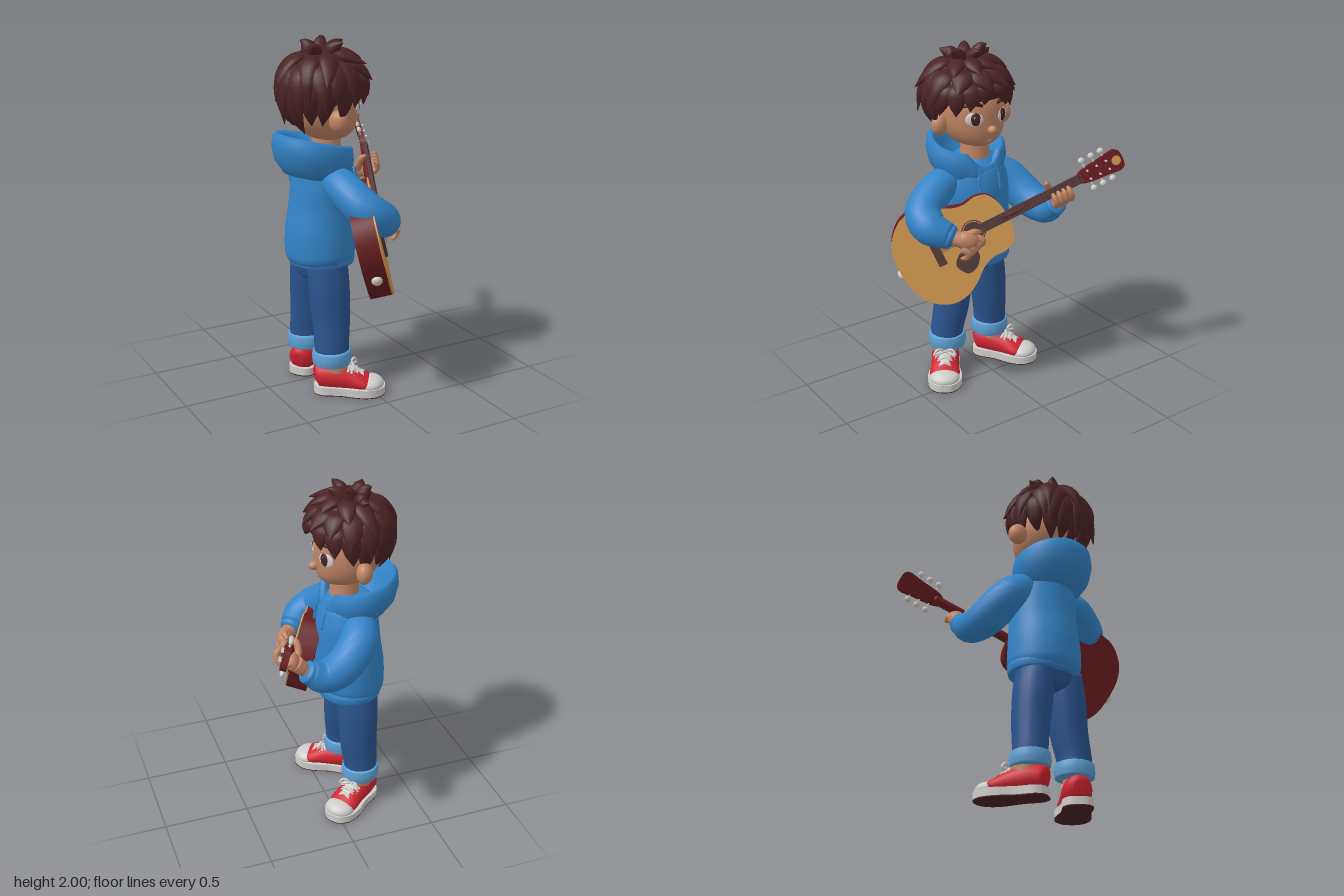
import * as THREE from 'three';
import { toCreasedNormals } from 'three/addons/utils/BufferGeometryUtils.js';

const V = (x, y, z) => new THREE.Vector3(x, y, z);
const paint = (name, color) => Object.assign(new THREE.MeshStandardMaterial({ color }), { name });

export function createModel() {
  const hairM = paint('dark brown hair', 0x4a2224), blue = paint('hoodie blue', 0x3384c8);
  const skin = paint('skin', 0xc08565), jeans = paint('denim', 0x2a548e), pale = paint('pale denim', 0x5e9fd2);
  const red = paint('shoe red', 0xd02430), white = paint('off white', 0xcfcdca);
  const tan = paint('spruce', 0xcf964e), maroon = paint('maroon wood', 0x681d20), dark = paint('dark rosewood', 0x543a3a);
  blue.side = THREE.DoubleSide; // the hood and pocket are open surfaces

  const root = new THREE.Group(), boy = new THREE.Group();
  root.name = 'guitarPlayer'; boy.name = 'figure';
  boy.rotation.y = Math.PI / 2; // the figure looks along +x
  root.add(boy);

  const part = (parent, name, geo, mat, pos = [0, 0, 0], scale = [1, 1, 1], rot = [0, 0, 0]) => {
    const m = new THREE.Mesh(geo, mat);
    m.name = name; m.position.set(...pos); m.scale.set(...scale); m.rotation.set(...rot);
    parent.add(m);
    return m;
  };
  const ball = (parent, name, mat, pos, scale, rot) =>
    part(parent, name, new THREE.SphereGeometry(1, 28, 20), mat, pos, scale, rot);

  // Smooth body through elliptical sections: pts is the path, rads the [side, up] radii along it
  const limb = (parent, name, mat, pts, rads, up = [0, 1, 0], segs = 24, n = 20) => {
    const path = new THREE.CatmullRomCurve3(pts.map(p => V(...p)));
    const size = new THREE.CatmullRomCurve3(rads.map(r => Array.isArray(r) ? V(r[0], r[1], 0) : V(r, r, 0)));
    const pos = [], idx = [];
    for (let i = 0; i <= segs; i++) {
      const c = path.getPoint(i / segs), t = path.getTangent(i / segs), r = size.getPoint(i / segs);
      const s = V(...up).cross(t).normalize(), u = t.clone().cross(s);
      for (let j = 0; j < n; j++) {
        const a = j / n * Math.PI * 2;
        pos.push(...c.clone().addScaledVector(s, r.x * Math.cos(a)).addScaledVector(u, r.y * Math.sin(a)).toArray());
        if (i === segs) continue;
        const k = i * n + j, l = i * n + (j + 1) % n;
        idx.push(k, l, l + n, k, l + n, k + n);
      }
    }
    const e = pos.length / 3;
    pos.push(...pts[0], ...pts[pts.length - 1]);
    for (let j = 0; j < n; j++) {
      const k = (j + 1) % n;
      idx.push(e, k, j, e + 1, segs * n + j, segs * n + k);
    }
    const g = new THREE.BufferGeometry();
    g.setAttribute('position', new THREE.Float32BufferAttribute(pos, 3));
    g.setIndex(idx); g.computeVertexNormals();
    return part(parent, name, g, mat);
  };

  // Mirrored outline from [distance, half width] pairs, extruded
  const slab = (half, depth) => {
    const p = new THREE.SplineCurve(half.map(h => new THREE.Vector2(...h))).getPoints(48);
    const q = p.slice(1, -1).reverse().map(v => new THREE.Vector2(v.x, -v.y));
    return toCreasedNormals(new THREE.ExtrudeGeometry(new THREE.Shape([...p, ...q]), { depth, bevelEnabled: false }), 0.6);
  };

  // ---- legs and shoes
  limb(boy, 'hips', jeans, [[-.033, .625, -.18], [-.033, .65, -.18], [-.03, .71, -.18], [-.03, .8, -.17]],
    [[.03, .05], [.11, .105], [.195, .125], [.18, .14]], [0, 0, 1]);
  for (const [side, hip, knee, ankle, foot, turn] of [['right', -.13, -.175, -.2, -.225, -.6], ['left', .066, .1, .112, .132, .6]]) {
    limb(boy, side + 'Leg', jeans, [[hip, .74, -.18], [(hip + knee) / 2, .6, -.18], [knee, .42, -.18], [ankle, .27, -.19], [ankle, .19, -.19]],
      [[.1, .12], [.108, .12], [.102, .11], [.095, .1], [.097, .1]], [0, 0, 1]);
    limb(boy, side + 'TrouserCuff', pale, [[ankle, .165, -.19], [ankle, .172, -.19], [ankle, .21, -.19], [ankle, .248, -.19], [ankle, .255, -.19]],
      [.09, .108, .113, .108, .095], [0, 0, 1]);
    const shoe = new THREE.Group();
    shoe.name = side + 'Shoe'; shoe.position.set(foot, 0, -.175);
    shoe.rotation.y = turn; shoe.scale.set(1.06, 1.02, 1.1);
    boy.add(shoe);
    part(shoe, 'ankle', new THREE.CylinderGeometry(.07, .07, .12, 24), skin, [0, .15, 0]);
    const sole = [[-.115, 0], [-.105, .05], [-.06, .078], [.03, .078], [.13, .095], [.2, .085], [.245, .045], [.255, 0]];
    for (const [name, mat, top, depth] of [['soleEdge', white, .048, .043], ['soleBottom', hairM, .005, .005]])
      part(shoe, name, slab(sole, depth).rotateX(Math.PI / 2).rotateY(-Math.PI / 2), mat, [0, top, 0]);
    limb(shoe, 'upper', red, [[0, .09, -.11], [0, .095, -.09], [0, .1, -.02], [0, .085, .07], [0, .065, .15], [0, .055, .2]],
      [[.03, .04], [.065, .075], [.077, .082], [.077, .07], [.083, .045], [.06, .03]]);
    ball(shoe, 'toeCap', white, [0, .056, .178], [.083, .046, .07]);
    limb(shoe, 'tongue', white, [[0, .12, .13], [0, .15, .075], [0, .185, .045]], [[.03, .008], [.035, .01], [.035, .008]]);
    for (let i = 0; i < 3; i++) {
      const z = .065 + i * .03, y = .158 - i * .02;
      for (const k of [-1, 1])
        limb(shoe, 'lace', white, [[-.055 * k, y - .02, z], [0, y + .008, z + .01], [.055 * k, y - .03, z + .02]], [.007, .008, .007], [0, 1, 0], 10, 8);
    }
    for (const k of [-1, 1])
      limb(shoe, 'bow', white, [[0, .165, .07], [.04 * k, .185, .09], [.06 * k, .155, .1], [.01 * k, .16, .075]], [.007, .007, .007, .007], [0, 0, 1], 14, 8);
  }

  // ---- hoodie
  limb(boy, 'hoodieBody', blue, [[-.015, .76, -.155], [-.015, .8, -.16], [-.015, .9, -.16], [-.015, 1.05, -.15], [-.02, 1.18, -.145], [-.025, 1.29, -.155], [-.03, 1.37, -.16]],
    [[.202, .185], [.21, .202], [.208, .2], [.197, .187], [.197, .18], [.175, .16], [.1, .1]], [0, 0, 1], 32, 36);
  limb(boy, 'hemBand', blue, [[-.01, .72, -.155], [-.01, .727, -.155], [-.01, .76, -.155], [-.01, .79, -.155]],
    [[.18, .165], [.199, .183], [.205, .188], [.195, .18]], [0, 0, 1], 16, 36);
  const pocket = new THREE.PlaneGeometry(1, 1, 14, 8), pp = pocket.attributes.position;
  for (let i = 0; i < pp.count; i++) {
    const v = pp.getY(i) + .5, x = pp.getX(i) * (.29 - .11 * v);
    pp.setXYZ(i, x - .015, .8 + v * .16, -.16 + .211 * Math.sqrt(1 - (x / .215) ** 2));
  }
  pocket.computeVertexNormals();
  part(boy, 'frontPocket', pocket, blue);

  // hood lying on the shoulders, low and notched in front
  const hood = new THREE.LatheGeometry([[.1, -.15], [.17, -.13], [.215, -.07], [.232, 0], [.225, .06], [.205, .08], [.18, .06], [.155, 0], [.13, -.07], [.1, -.1]]
    .map(p => new THREE.Vector2(...p)), 48);
  const hp = hood.attributes.position;
  for (let i = 0; i < hp.count; i++) {
    const x = hp.getX(i), z = hp.getZ(i), f = z / Math.hypot(x, z);
    let y = hp.getY(i);
    if (f < 0 && y < 0) y *= 1 - .15 * f;
    y -= .045 * f + (y > -.08 ? .07 * THREE.MathUtils.smoothstep(f, .86, 1) : 0);
    hp.setXYZ(i, x, y, z * (f > 0 ? .92 : 1.03));
  }
  hood.computeVertexNormals();
  part(boy, 'hood', hood, blue, [-.035, 1.365, -.205]);
  for (const x of [-.1, .035])
    limb(boy, 'drawstring', blue, [[x * .8, 1.32, -.01], [x, 1.27, .012], [x, 1.18, .026]], [.007, .007, .009], [0, 0, 1], 12, 8);

  // sleeves
  limb(boy, 'rightSleeve', blue, [[-.12, 1.26, -.16], [-.27, 1.2, -.15], [-.41, 1.1, -.085], [-.418, 1.045, .0], [-.35, 1.005, .08]],
    [.07, .1, .105, .1, .072]);
  limb(boy, 'rightCuff', blue, [[-.375, 1.015, .05], [-.365, 1.01, .063], [-.34, 1.0, .092], [-.33, .995, .103]], [.06, .073, .069, .05]);
  limb(boy, 'leftSleeve', blue, [[.08, 1.26, -.17], [.205, 1.17, -.13], [.277, 1.055, .01], [.295, 1.04, .12], [.3, 1.085, .195]],
    [.075, .108, .104, .09, .066]);
  limb(boy, 'leftCuff', blue, [[.3, 1.06, .165], [.3, 1.068, .175], [.3, 1.095, .21], [.3, 1.102, .22]], [.055, .068, .064, .045]);

  // ---- head: round skull with a full jaw
  part(boy, 'neck', new THREE.CylinderGeometry(.075, .09, .2, 28), skin, [-.03, 1.4, -.13]);
  const skull = new THREE.SphereGeometry(1, 40, 30), sp = skull.attributes.position;
  for (let i = 0; i < sp.count; i++) {
    const [x, y, z] = [sp.getX(i), sp.getY(i), sp.getZ(i)], low = Math.max(-y, 0);
    const full = Math.cbrt(1 - Math.min(low, .999) ** 3) / Math.sqrt(1 - Math.min(low, .999) ** 2);
    sp.setXYZ(i, x * .19 * (low ? 1 + (full - 1) * .45 : 1), y * .2, z * .195 * (z > 0 ? full : 1) + low * low * .025);
  }
  skull.computeVertexNormals();
  part(boy, 'head', skull, skin, [-.035, 1.63, -.155]);
  ball(boy, 'nose', skin, [-.035, 1.55, .046], [.026, .025, .033]);
  limb(boy, 'mouth', skin, [[-.065, 1.488, .012], [-.035, 1.484, .024], [-.005, 1.488, .012]], [.003, .005, .003], [0, 1, 0], 12, 8);
  for (const s of [-1, 1]) {
    const x = -.035 + s * .092;
    ball(boy, 'ear', skin, [-.03 + s * .21, 1.565, -.165], [.055, .062, .045], [0, s * -.5, 0]);
    ball(boy, 'eyeWhite', white, [x, 1.615, .009], [.05, .042, .014], [0, s * .5, 0]);
    ball(boy, 'iris', hairM, [x - s * .004, 1.617, .018], [.031, .037, .01], [0, s * .42, 0]);
    ball(boy, 'eyeGlint', white, [x - .01, 1.63, .027], [.005, .006, .003]);
    limb(boy, 'eyebrow', hairM, [[x - s * .045, 1.688, .024], [x, 1.705, .012], [x + s * .05, 1.686, -.02]], [.008, .014, .005], [0, 1, 0], 14, 10);
  }

  // ---- hair: a cap with rows of pointed locks
  const hair = new THREE.Group();
  hair.name = 'hair'; hair.position.set(-.06, 1.74, -.17);
  boy.add(hair);
  const cap = new THREE.SphereGeometry(1, 40, 30), cp = cap.attributes.position;
  for (let i = 0; i < cp.count; i++) {
    const z = cp.getZ(i), low = -.1 - .85 * THREE.MathUtils.smoothstep(-z, -.4, .7);
    cp.setXYZ(i, cp.getX(i) * .222, Math.max(cp.getY(i), low) * .195, z * .218);
  }
  cap.computeVertexNormals();
  part(hair, 'hairCap', cap, hairM);
  let seed = 7;
  const rnd = () => (seed = (seed * 16807) % 2147483647) / 2147483647 - .5;
  const at = (az, el, r) => {
    const h = r * Math.cos(el > 0 ? el : el * .85);
    return [.23 * Math.sin(az) * h, (el > 0 ? .2 : .235) * Math.sin(el) * r, .23 * Math.cos(az) * h];
  };
  const lock = (az, el0, el1, lift, w) => {
    const a1 = az + rnd() * .3, p = at(az, (el0 + el1) / 2, 1);
    limb(hair, 'hairLock', hairM, [at(az, el0, .9), at(az, el0 * .65 + el1 * .35, .99), at((az + a1) / 2, el0 * .3 + el1 * .7, 1.02 + lift * .3), at(a1, el1, 1.02 + lift)],
      [[w * .5, .012], [w, .028], [w * .7, .022], [.002, .002]], p, 14, 10);
  };
  for (const [count, start, end, w, lift] of [[16, .45, 0, .06, .08], [13, .85, .45, .065, .19], [9, 1.25, .85, .056, .18]])
    for (let i = 0; i < count; i++) {
      const az = (i + .5 * (count % 2)) / count * Math.PI * 2 + rnd() * .2;
      lock(az, start, end - .2 - .95 * (1 - Math.cos(az)) / 2 + rnd() * .2, lift + rnd() * .12, w);
    }
  for (const [x, z, lx, lz, h] of [[.06, .02, .1, .06, .25], [0, .06, .0, .13, .235], [-.06, .03, -.13, .06, .235], [.03, -.06, .06, -.1, .24], [-.05, -.07, -.1, -.11, .22], [.11, -.02, .18, -.03, .2]])
    limb(hair, 'crownTuft', hairM, [[x * .5, .12, z * .5], [x, .19, z], [(x + lx) / 2, h - .015, (z + lz) / 2], [lx, h, lz]],
      [.03, .042, .026, .002], [.3, 0, 1], 14, 10);

  // ---- guitar: x runs up the neck, z out of the sound board
  const guitar = new THREE.Group();
  guitar.name = 'guitar';
  const d = V(.86, .415, .365).normalize(), up = V(-.53, .28, 1).cross(d).normalize();
  guitar.applyMatrix4(new THREE.Matrix4().makeBasis(d, up, d.clone().cross(up)).setPosition(-.2, 1, .1));
  boy.add(guitar);
  const body = new THREE.Group();
  body.name = 'guitarSoundBox'; body.position.y = -.01; body.rotation.z = .08;
  guitar.add(body);
  const bodyLine = [[-.465, 0], [-.455, .11], [-.41, .205], [-.32, .275], [-.22, .286], [-.13, .25], [-.05, .195], [.025, .17], [.105, .176], [.17, .15], [.203, .085], [.212, 0]];
  part(body, 'guitarBody', slab(bodyLine, .122), maroon, [0, 0, -.13]);
  part(body, 'soundBoard', slab(bodyLine, .009), tan, [0, 0, -.009]);
  part(body, 'pickguard', slab([[-.075, 0], [-.065, .042], [-.01, .062], [.05, .04], [.075, 0]], .004), dark, [-.1, -.11, 0], [1, 1, 1], [0, 0, .5]);
  part(guitar, 'soundHole', new THREE.CircleGeometry(.058, 36), dark, [0, 0, .002]);
  part(guitar, 'rosette', new THREE.TorusGeometry(.066, .003, 8, 40), dark);
  part(guitar, 'bridge', new THREE.BoxGeometry(.048, .16, .018), dark, [-.23, -.01, .008]);
  part(guitar, 'fretboard', new THREE.BoxGeometry(.63, .052, .02), dark, [.36, 0, .011]);
  limb(guitar, 'neckBack', maroon, [[.18, 0, -.004], [.5, 0, -.004], [.7, 0, -.002]], [[.026, .03], [.025, .022], [.024, .018]], [0, 0, 1]);
  ball(body, 'strapPin', white, [-.47, 0, -.065], [.02, .03, .03]);
  for (let i = 0; i < 13; i++)
    part(guitar, 'fret', new THREE.BoxGeometry(.004, .052, .003), hairM, [.66 - .56 * (1 - 2 ** (-i / 9)), 0, .022]);
  for (let i = 0; i < 6; i++)
    part(guitar, 'string', new THREE.BoxGeometry(.9, .0022, .0022), dark, [.225, (i - 2.5) * .0075, .026]);
  const headstock = new THREE.Group();
  headstock.name = 'headstock'; headstock.position.set(.655, 0, .008); headstock.rotation.y = .08;
  guitar.add(headstock);
  part(headstock, 'headstockBoard', slab([[0, 0], [.002, .024], [.05, .042], [.15, .052], [.235, .062], [.265, .05], [.274, .03], [.276, 0]], .034), maroon, [0, 0, -.02]);
  part(headstock, 'inlay', new THREE.CircleGeometry(.027, 24), tan, [.235, 0, .016]);
  for (const s of [-1, 1]) for (const x of [.06, .12, .18]) {
    part(headstock, 'tunerShaft', new THREE.CylinderGeometry(.005, .005, .05, 10), white, [x, s * .06, -.008]);
    ball(headstock, 'tunerKnob', white, [x, s * .085, -.008], [.019, .018, .013]);
    part(headstock, 'tunerPost', new THREE.CylinderGeometry(.006, .006, .02, 10), white, [x, s * .025, .02], [1, 1, 1], [Math.PI / 2, 0, 0]);
  }

  // ---- fretting hand, wrapped round the neck
  ball(guitar, 'leftPalm', skin, [.525, -.055, -.035], [.058, .055, .04], [.5, 0, 0]);
  limb(boy, 'leftWrist', skin, [[.3, 1.085, .195], [.295, 1.12, .235], [.29, 1.15, .265]], [.042, .042, .045]);
  for (let i = 0; i < 4; i++) {
    const x = .48 + i * .031;
    limb(guitar, 'leftFinger', skin, [[x, -.06, -.04], [x, -.075, .01], [x + .003, -.055, .05], [x + .005, -.02, .056], [x + .005, .0, .042]], [.017, .018, .017, .016, .008], [1, 0, 0], 18, 12);
  }
  limb(guitar, 'leftThumb', skin, [[.5, -.04, -.05], [.49, .0, -.048], [.485, .045, -.025], [.483, .062, .005]], [.022, .02, .019, .008], [1, 0, 0], 16, 12);

  // ---- strumming hand
  limb(boy, 'rightWrist', skin, [[-.35, 1.005, .08], [-.32, .995, .11], [-.29, .985, .14]], [.045, .045, .045]);
  ball(boy, 'rightPalm', skin, [-.275, .985, .148], [.068, .055, .045], [0, -.5, -.2]);
  for (let i = 0; i < 4; i++) {
    const x = -.205 - i * .032, y = 1.0 - i * .018;
    limb(boy, 'rightFinger', skin, [[x - .02, y, .16], [x + .01, y - .02, .18], [x + .012, y - .05, .168], [x - .008, y - .065, .14]], [.018, .019, .017, .009], [1, 0, 0], 16, 12);
  }
  limb(boy, 'rightThumb', skin, [[-.28, 1.015, .145], [-.235, 1.03, .162], [-.19, 1.02, .158]], [.022, .02, .009], [0, 1, 0], 14, 12);
  return root;
}
